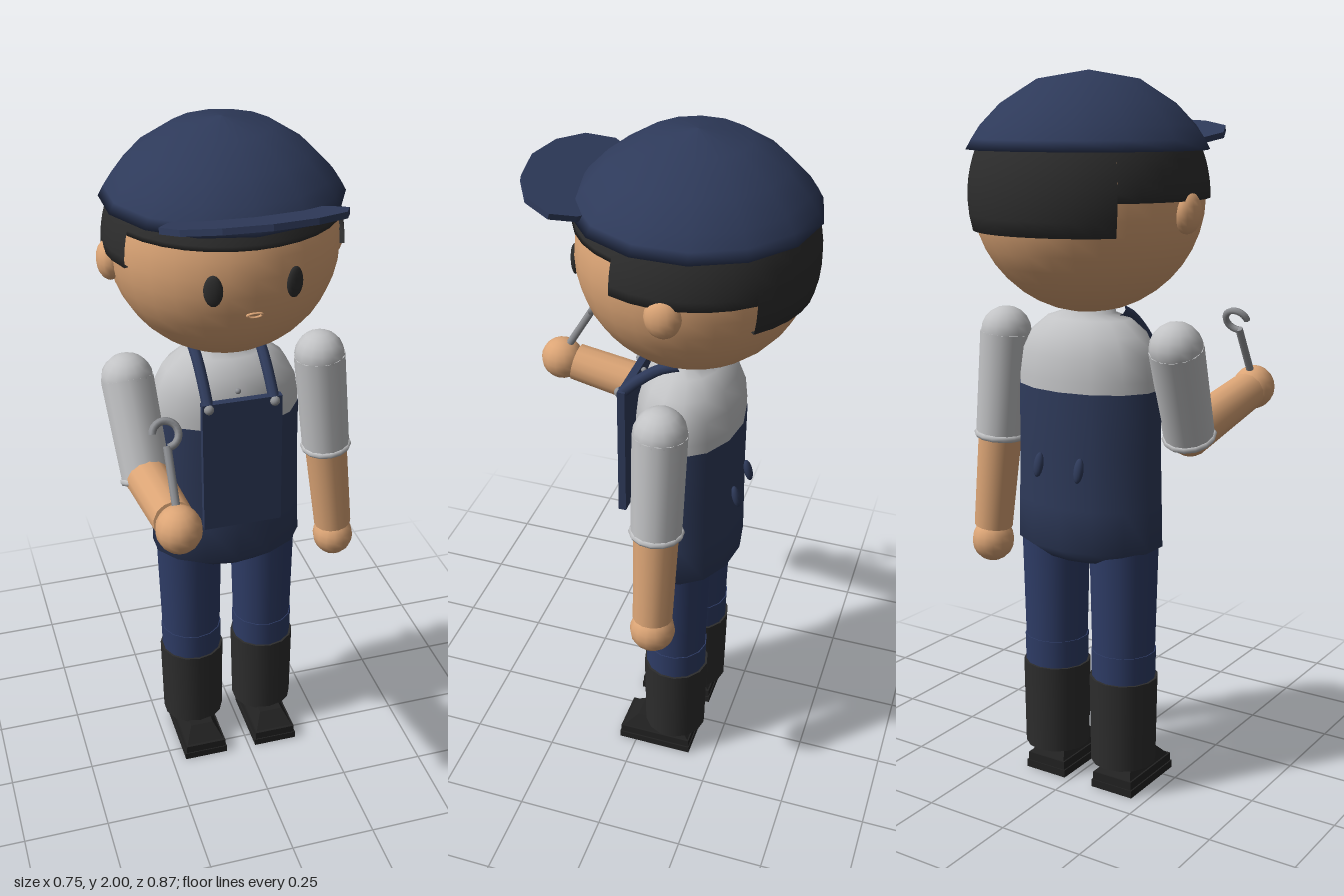
import * as THREE from 'three';

const mat = (name, color, side = THREE.FrontSide) => {
  const m = new THREE.MeshStandardMaterial({ color, side });
  m.name = name;
  return m;
};
const CX = -0.027, CZ = -0.11, HEAD_Y = 1.68, SEG = 14;
const V = (x, y, z) => new THREE.Vector3(x, y, z);

export function createModel() {
  const model = new THREE.Group();
  model.name = 'worker';
  const navy = mat('navy overalls', 0x2e3a5a);
  const blue = mat('blue trousers', 0x2e3c66);
  const grey = mat('light grey shirt', 0xc2c3c5);
  const skin = mat('skin', 0xdca576);
  const black = mat('black hair and boots', 0x2d2d2d, THREE.DoubleSide);
  const sole = mat('dark shoes', 0x222222);
  const steel = mat('steel', 0x909296);

  const add = (name, geo, material, x = 0, y = 0, z = 0, parent = model) => {
    const m = new THREE.Mesh(geo, material);
    m.name = name;
    m.position.set(x, y, z);
    parent.add(m);
    return m;
  };
  const ball = (name, material, x, y, z, rx, ry = rx, rz = rx) => {
    const m = add(name, new THREE.SphereGeometry(1, SEG, 10), material, x, y, z);
    m.scale.set(rx, ry, rz);
    return m;
  };
  const lathe = (pts, start = 0, len = Math.PI * 2, seg = SEG) =>
    new THREE.LatheGeometry(pts.map(p => new THREE.Vector2(...p)), seg, start, len);
  // tapered cylinder from point a to point b
  const limb = (name, material, a, b, ra, rb) => {
    const dir = b.clone().sub(a);
    const m = add(name, new THREE.CylinderGeometry(rb, ra, dir.length(), SEG), material);
    m.position.copy(a).add(b).multiplyScalar(0.5);
    m.quaternion.setFromUnitVectors(V(0, 1, 0), dir.normalize());
    return m;
  };

  // head, ears and face
  add('head', new THREE.SphereGeometry(0.31, 28, 20), skin, CX, HEAD_Y, CZ);
  for (const s of [-1, 1]) {
    ball('ear', skin, CX + s * 0.305, 1.645, -0.12, 0.035, 0.055, 0.048);
    const eye = ball('eye', black, CX + s * 0.106, 1.655, 0.178, 0.025, 0.042, 0.012);
    eye.rotation.y = s * 0.35;
  }
  const mouth = add('mouth', new THREE.TorusGeometry(0.02, 0.004, 6, 14), skin, CX, 1.58, 0.184);
  mouth.scale.y = 0.35;
  mouth.rotation.x = 0.32;

  // hair: shell bands whose lower edge steps down towards the back
  const hairBand = (name, bottom, start, len) => {
    const R = 0.322, pts = [];
    const at = (y, r) => Math.sqrt(r * r - (y - HEAD_Y) ** 2);
    pts.push([at(bottom, 0.305), bottom]);
    for (let i = 0; i <= 6; i++) {
      const y = bottom + (1.83 - bottom) * i / 6;
      pts.push([at(y, R), y]);
    }
    add(name, lathe(pts, start, len, Math.ceil(len * 5)), black, CX, 0, CZ);
  };
  const A = 1.15, B = 2.34;
  hairBand('fringe', 1.76, -A, 2 * A);
  hairBand('leftHair', 1.675, A, B - A);
  hairBand('rightHair', 1.675, -B, B - A);
  hairBand('backHair', 1.59, B, 2 * (Math.PI - B));

  // cap with a flared rim and an upturned visor
  add('cap', lathe([[0.27, 1.805], [0.323, 1.798], [0.308, 1.825], [0.285, 1.86], [0.232, 1.915],
    [0.135, 1.977], [0, 2]]), navy, CX, 0, CZ);
  const half = [[0.16, -0.02], [0.205, 0.01], [0.24, 0.07], [0.207, 0.145], [0.118, 0.195]];
  const outline = [...half, [0, 0.215], ...half.map(([x, y]) => [-x, y]).reverse()];
  const visorShape = new THREE.Shape(outline.map(p => new THREE.Vector2(...p)));
  const visorGeo = new THREE.ExtrudeGeometry(visorShape, { depth: 0.016, bevelEnabled: false });
  visorGeo.rotateX(Math.PI / 2);
  const visor = add('visor', visorGeo, navy, CX, 1.823, 0.12);
  visor.rotation.x = -0.24;

  // torso: shirt above, overalls below
  const shirt = add('shirt', lathe([[0.213, 1.15], [0.212, 1.2], [0.203, 1.26], [0.175, 1.315],
    [0.125, 1.355], [0.08, 1.37], [0.075, 1.42]]), grey, CX, 0, CZ);
  const overalls = add('overalls', lathe([[0, 0.69], [0.15, 0.69], [0.222, 0.732], [0.219, 0.85],
    [0.215, 1.0], [0.215, 1.17], [0.205, 1.17]]), navy, CX, 0, CZ);
  shirt.scale.z = overalls.scale.z = 0.69;

  // bib, straps and buttons
  add('bib', new THREE.BoxGeometry(0.226, 0.398, 0.022), navy, CX + 0.002, 1.076, 0.058);
  for (const s of [-1, 1]) {
    const x = CX + s * 0.093;
    const path = new THREE.CatmullRomCurve3([V(x, 1.265, 0.06), V(x, 1.315, 0.01),
      V(x, 1.36, -0.05), V(x, 1.38, -0.1)]);
    add('strap', new THREE.TubeGeometry(path, 8, 0.016, 8), navy);
    ball('strapButton', steel, x, 1.262, 0.07, 0.014);
    const end = ball('backTab', navy, CX + s * 0.065, 0.965, -0.262, 0.014, 0.034, 0.012);
    end.rotation.x = 0.25;
  }
  ball('shirtButton', steel, CX, 1.285, 0.03, 0.008);

  // legs, boots and shoes
  for (const s of [-1, 1]) {
    const x = CX + s * 0.114;
    limb('trouserLeg', blue, V(x, 0.42, CZ), V(x, 0.75, CZ), 0.089, 0.097);
    limb('trouserCuff', blue, V(x, 0.32, CZ), V(x, 0.425, CZ), 0.09, 0.092);
    limb('boot', black, V(x, 0.088, CZ), V(x, 0.345, CZ), 0.093, 0.097);
    add('sole', new THREE.BoxGeometry(0.134, 0.022, 0.228), sole, x, 0.016, -0.061);
    add('shoe', new THREE.BoxGeometry(0.126, 0.026, 0.222), sole, x, 0.038, -0.061);
    const top = new THREE.CylinderGeometry(0.05, 0.085, 0.045, 4, 1).rotateY(Math.PI / 4);
    const upper = add('shoeUpper', top.toNonIndexed(), sole, x, 0.07, -0.063);
    upper.geometry.computeVertexNormals();
    upper.scale.set(1, 1, 1.8);
  }

  // arms: shoulder, sleeve, rolled cuff, forearm, hand
  const arm = (side, shoulder, elbow, foreStart, wrist, hand) => {
    ball(side + 'Shoulder', grey, shoulder.x, shoulder.y, shoulder.z, 0.073);
    limb(side + 'Sleeve', grey, shoulder, elbow, 0.074, 0.07);
    const cuff = add(side + 'SleeveCuff', new THREE.TorusGeometry(0.066, 0.01, 6, SEG), grey);
    cuff.position.copy(elbow);
    cuff.quaternion.setFromUnitVectors(V(0, 0, 1), elbow.clone().sub(shoulder).normalize());
    limb(side + 'Forearm', skin, foreStart, wrist, 0.063, 0.056);
    ball(side + 'Hand', skin, hand.x, hand.y, hand.z, 0.061, 0.064, 0.064);
  };
  arm('left', V(0.255, 1.29, -0.108), V(0.283, 0.99, -0.108), V(0.28, 1.02, -0.108),
    V(0.314, 0.71, -0.108), V(0.316, 0.665, -0.108));
  arm('right', V(-0.302, 1.292, -0.115), V(-0.283, 1.035, -0.005), V(-0.282, 1.04, 0),
    V(-0.284, 1.1, 0.33), V(-0.284, 1.107, 0.376));
  ball('rightElbow', skin, -0.282, 1.04, 0.002, 0.063);

  // hooked spanner in the raised hand
  const tool = new THREE.Group();
  tool.name = 'spanner';
  tool.position.set(-0.284, 1.12, 0.375);
  tool.rotation.x = -0.53;
  model.add(tool);
  add('spannerShaft', new THREE.CylinderGeometry(0.011, 0.011, 0.2, 8), steel, 0, 0.1, 0, tool);
  const hook = add('spannerHook', new THREE.TorusGeometry(0.034, 0.01, 6, 16, 4.6), steel, 0, 0.23, 0, tool);
  hook.rotation.z = -Math.PI / 2;

  return model;
}
